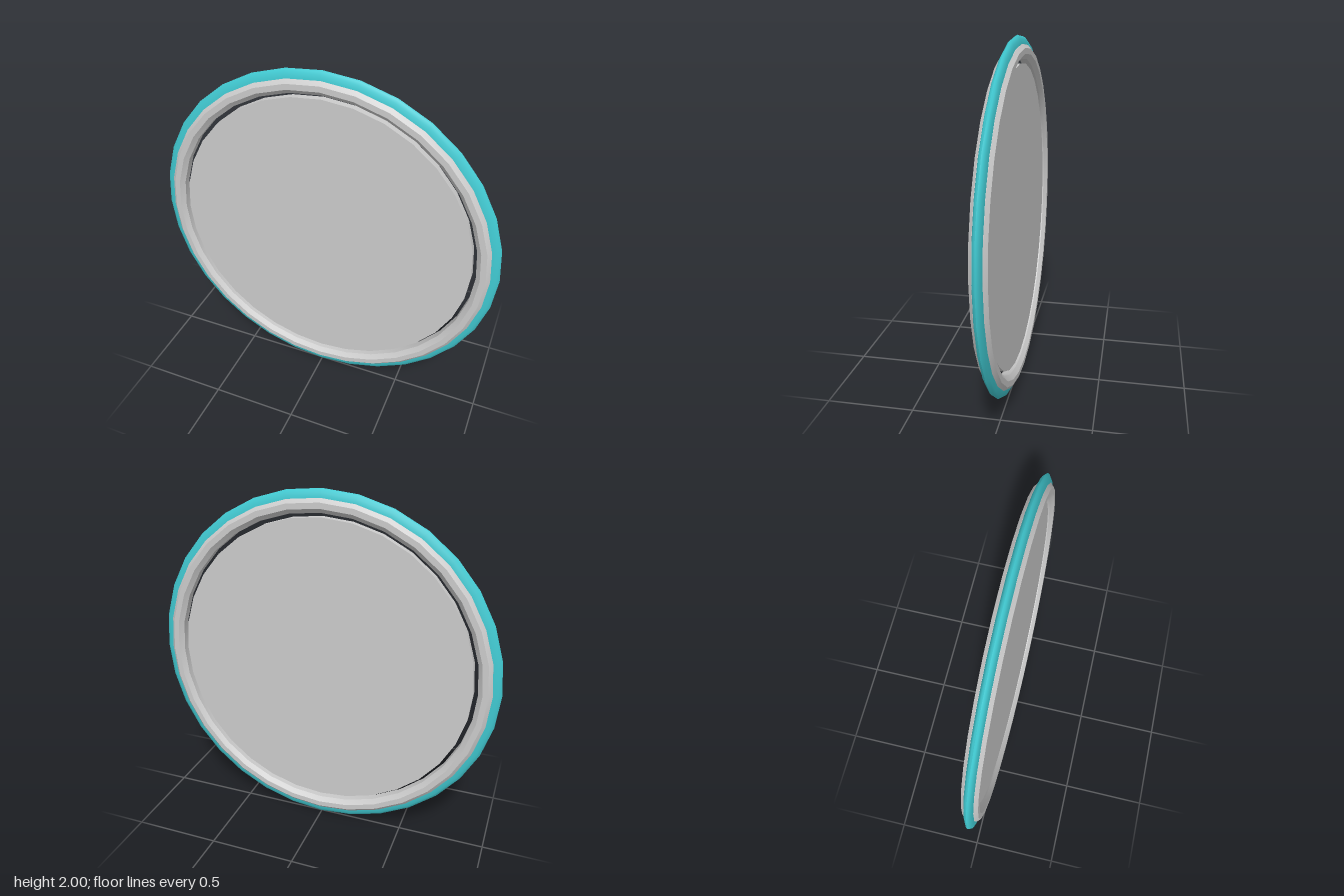
import * as THREE from 'three';
import { toCreasedNormals } from 'three/addons/utils/BufferGeometryUtils.js';

const SIDES = 32;

// Turns a cross-section of [radius, z] points around the z axis
function turned(name, section, color) {
  const points = section.map(([r, z]) => new THREE.Vector2(r, z));
  const lathe = new THREE.LatheGeometry(points, SIDES).rotateX(Math.PI / 2);
  const mesh = new THREE.Mesh(
    toCreasedNormals(lathe, THREE.MathUtils.degToRad(32)),
    new THREE.MeshStandardMaterial({ color })
  );
  mesh.name = name;
  return mesh;
}

export function createModel() {
  const wheel = new THREE.Group();
  wheel.name = 'wheel';

  // Tyre: thin rounded lens section, its inner side hidden in the rim
  const tyre = turned('tyre', [
    [0.92, -0.027], [0.955, -0.025], [0.98, -0.018], [0.995, -0.009], [1, 0],
    [0.995, 0.009], [0.98, 0.018], [0.955, 0.025], [0.92, 0.027],
  ], 0x40c8d0);

  // Rim: closed octagonal section
  const rim = turned('rim', [
    [0.955, -0.026], [0.955, 0.026], [0.935, 0.044], [0.904, 0.044],
    [0.879, 0.022], [0.879, -0.022], [0.904, -0.044], [0.935, -0.044], [0.955, -0.026],
  ], 0xcccccc);

  // Disc: flat plate floating inside the rim with an open gap around it
  const disc = turned('disc', [
    [0, -0.018], [0.855, -0.018], [0.855, 0.018], [0, 0.018],
  ], 0xcccccc);

  wheel.add(tyre, rim, disc);
  wheel.position.y = 1;

  const model = new THREE.Group();
  model.name = 'model';
  model.add(wheel);
  return model;
}
